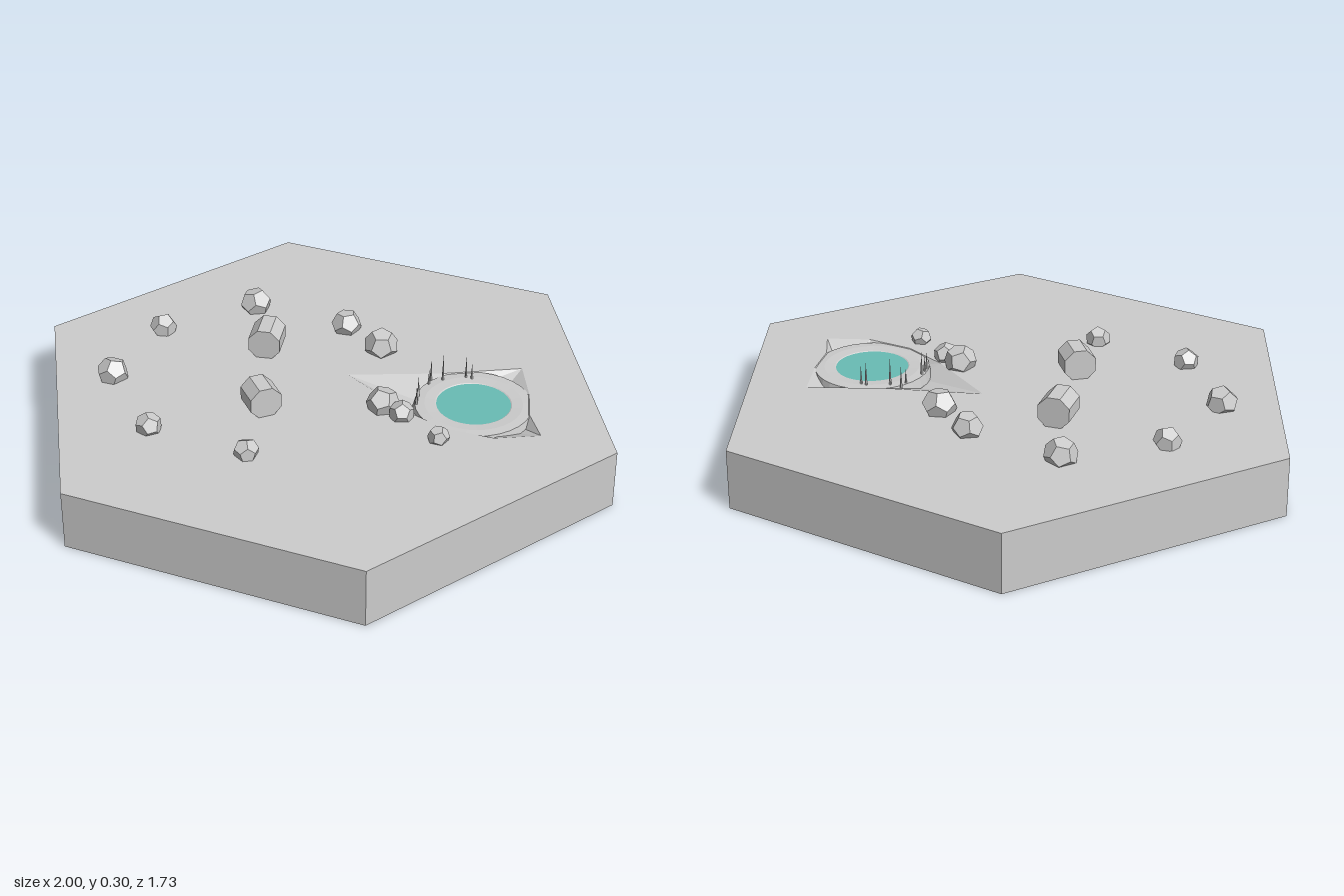
import * as THREE from 'three';

export function createModel() {
  const model = new THREE.Group();
  const stone = new THREE.MeshStandardMaterial({ color: 0xcccccc, flatShading: true, side: THREE.DoubleSide });
  stone.name = 'pale grey';
  const teal = new THREE.MeshStandardMaterial({ color: 0x69bcb4, side: THREE.DoubleSide });
  teal.name = 'water teal';

  const add = (name, geometry, material, x = 0, y = 0, z = 0) => {
    const mesh = new THREE.Mesh(geometry, material);
    mesh.name = name;
    mesh.position.set(x, y, z);
    model.add(mesh);
    return mesh;
  };

  const top = 0.2;
  const pond = { x: 0.49, z: -0.1 };

  // Open-bottomed hexagonal skirt
  add('tileWalls', new THREE.CylinderGeometry(1, 1, top, 6, 1, true, Math.PI / 2), stone, 0, top / 2, 0);

  // Ground with an irregular opening for the pond
  const rim = [[0.05, -0.1], [0.34, -0.23], [0.57, -0.36], [0.64, -0.22],
    [0.68, -0.1], [0.75, 0], [0.62, 0.07], [0.46, 0.08], [0.3, 0.03]];
  const hex = Array.from({ length: 6 }, (_, i) =>
    new THREE.Vector2(Math.cos(i * Math.PI / 3), Math.sin(i * Math.PI / 3)));
  const groundShape = new THREE.Shape(hex);
  groundShape.holes.push(new THREE.Path(rim.map(([x, z]) => new THREE.Vector2(x, z))));
  add('ground', new THREE.ShapeGeometry(groundShape).rotateX(Math.PI / 2), stone, 0, top, 0);

  // Sloping pit joining the opening to a sunken floor
  const floorY = 0.15;
  const inner = rim.map(([x, z]) => {
    const a = Math.atan2(z - pond.z, x - pond.x);
    return [pond.x + 0.14 * Math.cos(a), floorY, pond.z + 0.14 * Math.sin(a)];
  });
  const outer = rim.map(([x, z]) => [x, top, z]);
  const corners = [];
  rim.forEach((_, i) => {
    const j = (i + 1) % rim.length;
    corners.push(outer[i], inner[i], outer[j], outer[j], inner[i], inner[j],
      inner[i], [pond.x, floorY, pond.z], inner[j]);
  });
  const pit = new THREE.BufferGeometry();
  pit.setAttribute('position', new THREE.Float32BufferAttribute(corners.flat(), 3));
  pit.computeVertexNormals();
  add('pondPit', pit, stone);

  // Water and the shore ring around it
  add('water', new THREE.CylinderGeometry(0.19, 0.19, 0.043, 32), teal, pond.x, 0.1735, pond.z);
  const shore = [[0.12, 0.194], [0.125, 0.197], [0.16, 0.199], [0.192, 0.197], [0.2, 0.163]]
    .map(([r, y]) => new THREE.Vector2(r, y));
  add('shore', new THREE.LatheGeometry(shore, 32), stone, pond.x, 0, pond.z);

  // Rocks: x, z, radius
  const rocks = [[-0.41, -0.38, 0.055], [-0.065, -0.37, 0.052], [0.095, -0.285, 0.058],
    [-0.64, -0.12, 0.046], [-0.66, 0.215, 0.053], [-0.41, 0.45, 0.044], [-0.065, 0.46, 0.042],
    [0.23, 0.045, 0.055], [0.305, 0.07, 0.042], [0.46, 0.15, 0.036]];
  rocks.forEach(([x, z, r], i) => {
    const rock = add('rock', new THREE.DodecahedronGeometry(r), stone, x, top + r * 0.4, z);
    rock.rotation.set(0.5 + i * 0.13, i * 1.7, 0.3);
  });

  // Eight-sided logs lying on the ground: x, z, length, heading
  [[-0.262, -0.143, 0.108, 0.22], [-0.13, 0.2, 0.094, Math.PI / 4]].forEach(([x, z, length, heading]) => {
    const log = new THREE.CylinderGeometry(0.057, 0.057, length, 8)
      .rotateY(Math.PI / 8).rotateX(Math.PI / 2).rotateY(heading);
    add('log', log, stone, x, 0.248, z);
  });

  // Thin reeds on the left bank: x, z, height
  const reeds = [[0.31, -0.19, 0.08], [0.315, -0.155, 0.06], [0.35, -0.195, 0.11], [0.31, -0.07, 0.09],
    [0.32, -0.025, 0.07], [0.315, -0.045, 0.06], [0.415, -0.24, 0.1], [0.435, -0.24, 0.07]];
  reeds.forEach(([x, z, h]) => add('reed', new THREE.ConeGeometry(0.005, h, 5), stone, x, 0.19 + h / 2, z));

  return model;
}
